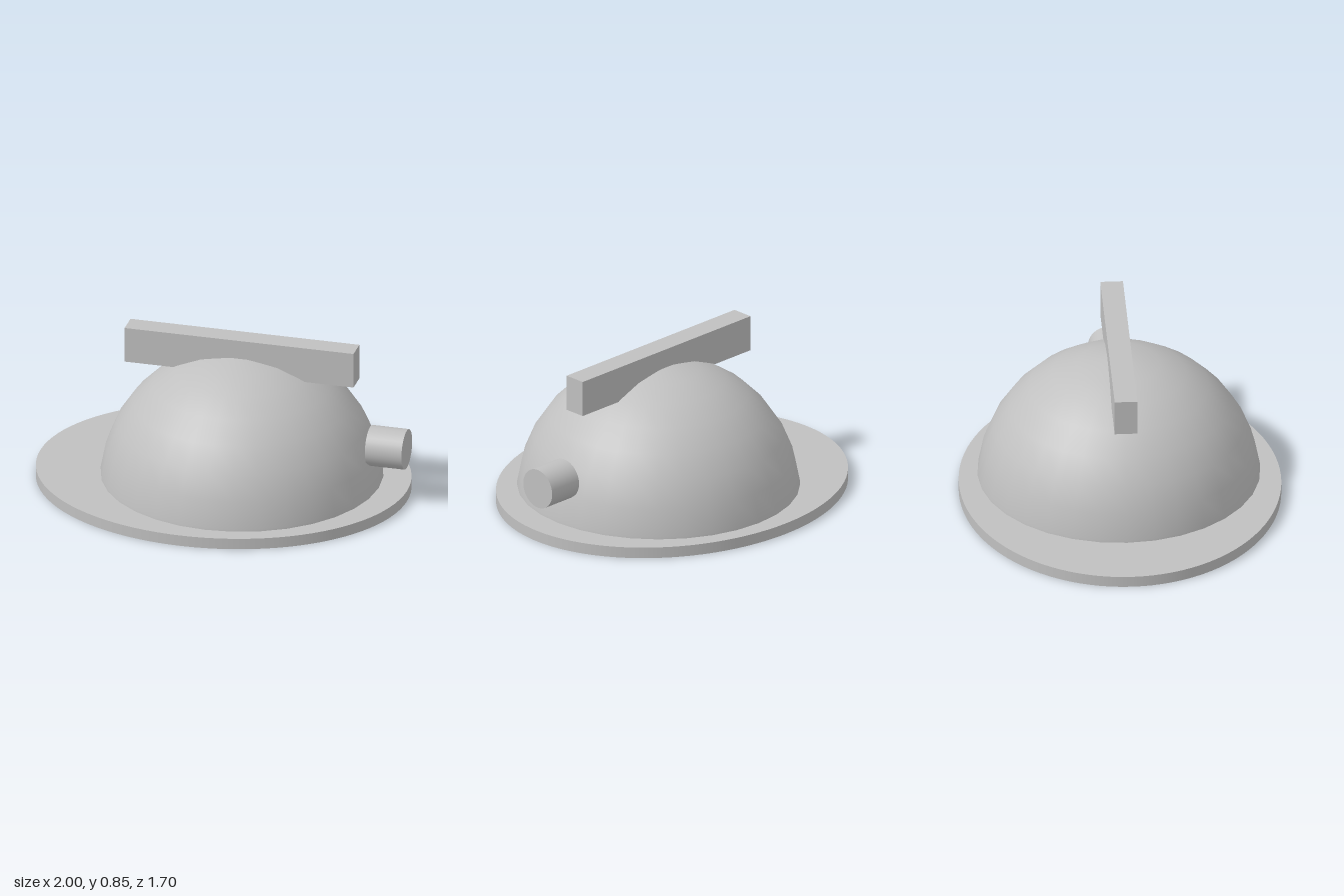
import * as THREE from 'three';

export function createModel() {
  const model = new THREE.Group();
  const grey = new THREE.MeshStandardMaterial({ color: 0xc0c0c0 });
  grey.name = 'light grey';

  const add = (name, geometry, x, y, z) => {
    const mesh = new THREE.Mesh(geometry, grey);
    mesh.name = name;
    mesh.position.set(x, y, z);
    model.add(mesh);
    return mesh;
  };

  // Oval base plate
  const plate = new THREE.CylinderGeometry(1, 1, 0.06, 96);
  plate.scale(1, 1, 0.85);
  add('basePlate', plate, 0, 0.03, 0);

  // Dome: half-step rings with a small flat cap, sunk into the plate
  const radius = 0.75, rings = 16;
  const profile = [];
  for (let i = rings / 2 - 1; i >= 0; i--) {
    const a = ((i + 0.5) * Math.PI) / rings;
    profile.push(new THREE.Vector2(radius * Math.sin(a), radius * Math.cos(a)));
  }
  profile.unshift(new THREE.Vector2(profile[0].x, 0.03));
  profile.push(new THREE.Vector2(0, profile[profile.length - 1].y));
  add('dome', new THREE.LatheGeometry(profile, 32), 0.1, 0, 0);

  // Handle bar across the top
  add('handleBar', new THREE.BoxGeometry(1.25, 0.195, 0.12), 0.1, 0.7525, 0);

  // Round knob on the left side
  const knob = new THREE.CylinderGeometry(0.108, 0.108, 0.2, 32);
  knob.rotateZ(-Math.PI / 2);
  add('sideKnob', knob, 0.9, 0.303, 0);

  return model;
}
